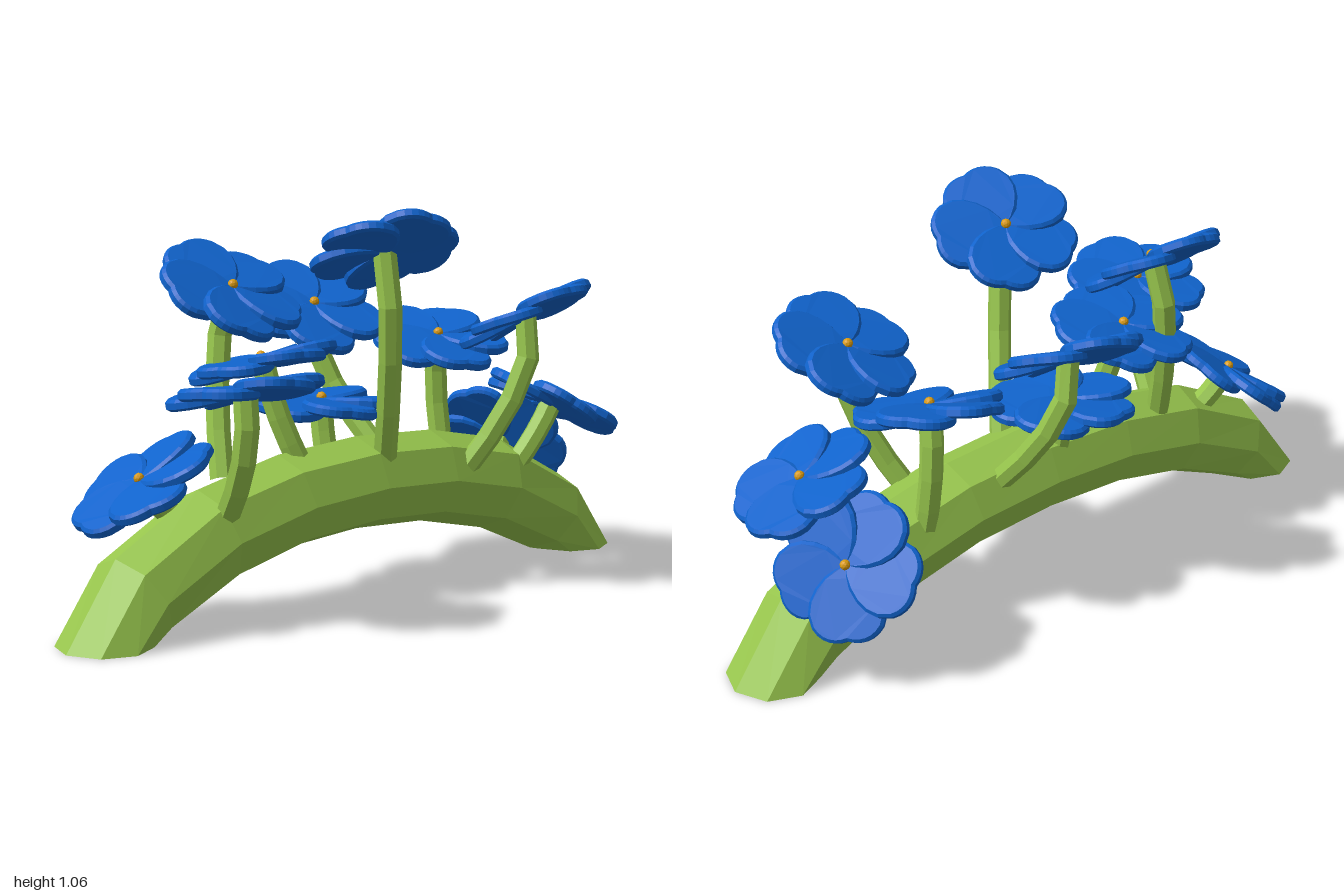
import * as THREE from 'three';

const green = new THREE.MeshStandardMaterial({ color: 0x97c54d, flatShading: true });
green.name = 'stem green';
const blue = new THREE.MeshStandardMaterial({ color: 0x1063cc, flatShading: true });
blue.name = 'petal blue';
const gold = new THREE.MeshStandardMaterial({ color: 0xd99a12, flatShading: true });
gold.name = 'pollen gold';

// Arched branch: octagonal rings given by centre, tilt of the section and radius
function archGeometry() {
  const half = [[-0.88, 0.008, -1, 0, 0.12], [-0.78, 0.12, -0.51, 0.86, 0.119],
    [-0.535, 0.235, -0.27, 0.963, 0.13], [-0.27, 0.29, -0.15, 0.989, 0.127]];
  const rings = [...half, [0, 0.305, 0, 1, 0.126],
    ...half.map(([x, y, dx, dy, r]) => [-x, y, -dx, dy, r]).reverse()];
  const N = 8, pos = [], idx = [];
  for (const [x, y, dx, dy, r] of rings) {
    for (let j = 0; j < N; j++) {
      const a = (j / N) * Math.PI * 2;
      pos.push(x + dx * r * Math.cos(a), y + dy * r * Math.cos(a), 0.012 + 0.128 * Math.sin(a));
    }
  }
  for (let i = 0; i < rings.length - 1; i++) {
    for (let j = 0; j < N; j++) {
      const k = (j + 1) % N;
      const a = i * N + j, b = a + N, d = i * N + k, c = d + N;
      idx.push(a, d, b, d, c, b);
    }
  }
  // flat feet
  const last = (rings.length - 1) * N;
  for (let j = 1; j < N - 1; j++) {
    idx.push(0, j + 1, j);
    idx.push(last, last + j, last + j + 1);
  }
  const g = new THREE.BufferGeometry();
  g.setAttribute('position', new THREE.Float32BufferAttribute(pos, 3));
  g.setIndex(idx);
  g.computeVertexNormals();
  return g;
}

// One broad petal with a bevelled rim, gently curled, pointing to -z
function petalGeometry() {
  const s = new THREE.Shape();
  s.moveTo(0, 0);
  s.bezierCurveTo(0.05, 0.02, 0.12, 0.09, 0.085, 0.155);
  s.bezierCurveTo(0.065, 0.188, 0.03, 0.195, 0, 0.184);
  s.bezierCurveTo(-0.03, 0.195, -0.065, 0.188, -0.085, 0.155);
  s.bezierCurveTo(-0.12, 0.09, -0.05, 0.02, 0, 0);
  const g = new THREE.ExtrudeGeometry(s, { depth: 0.016, curveSegments: 6,
    bevelEnabled: true, bevelThickness: 0.007, bevelSize: 0.008, bevelSegments: 1 });
  g.rotateX(-Math.PI / 2);
  g.translate(0, -0.026, 0);
  const p = g.attributes.position;
  for (let i = 0; i < p.count; i++) {
    const r = -p.getZ(i);
    p.setY(i, p.getY(i) + 0.5 * r * (0.2 - r) - 0.5 * p.getX(i) ** 2);
  }
  g.rotateZ(0.13); // each petal overlaps its neighbour
  g.computeVertexNormals();
  return g;
}

// Flower centre, facing direction, stem base, spin
const flowers = [
  [[-0.71, 0.40, -0.05], [-0.5, 0.82, -0.15], [-0.60, 0.28, -0.02], 0],
  [[-0.57, 0.645, 0.19], [0.03, 0.97, -0.22], [-0.54, 0.30, 0.09], 3.1],
  [[-0.36, 0.86, -0.08], [0, 0.83, 0.55], [-0.43, 0.36, -0.05], 0.2],
  [[-0.29, 0.67, -0.05], [-0.08, 0.97, -0.22], [-0.21, 0.37, 0.02], 0.5],
  [[-0.05, 0.535, -0.07], [0, 1, 0.02], [-0.05, 0.37, -0.05], 0.3],
  [[-0.05, 0.96, 0.16], [0.2, 0.85, -0.48], [0.04, 0.37, 0.08], 0.6],
  [[0.08, 0.77, -0.23], [-0.15, 0.85, 0.5], [0.17, 0.36, -0.07], 0.1],
  [[0.41, 0.67, -0.07], [-0.12, 0.95, 0.28], [0.43, 0.28, -0.06], 0.3],
  [[0.46, 0.755, 0.20], [-0.15, 0.88, -0.42], [0.34, 0.30, 0.09], 3.1],
  [[0.69, 0.48, 0.12], [0.43, 0.88, 0.12], [0.57, 0.29, 0.08], 2.6],
  [[0.73, 0.335, -0.115], [0.75, 0.52, -0.40], [0.63, 0.22, -0.04], 0.4],
];

export function createModel() {
  const model = new THREE.Group();
  model.name = 'floweringArch';

  const arch = new THREE.Mesh(archGeometry(), green);
  arch.name = 'archedBranch';
  model.add(arch);

  const petalGeo = petalGeometry();
  const centreGeo = new THREE.IcosahedronGeometry(0.014, 1);
  const up = new THREE.Vector3(0, 1, 0);

  flowers.forEach(([c, n, b, spin], i) => {
    const centre = new THREE.Vector3(...c);
    const normal = new THREE.Vector3(...n).normalize();
    const base = new THREE.Vector3(...b);

    // stem bends to meet the underside of the flower
    const reach = Math.min(0.17, centre.distanceTo(base) * 0.5);
    const bend = centre.clone().addScaledVector(normal, -reach);
    const tip = centre.clone().addScaledVector(normal, -0.016);
    const curve = new THREE.QuadraticBezierCurve3(base, bend, tip);
    const stem = new THREE.Mesh(new THREE.TubeGeometry(curve, 4, 0.032, 7), green);
    stem.name = 'stem' + (i + 1);
    model.add(stem);

    const flower = new THREE.Group();
    flower.name = 'flower' + (i + 1);
    for (let k = 0; k < 5; k++) {
      const petal = new THREE.Mesh(petalGeo, blue);
      petal.name = 'petal';
      petal.rotation.y = spin + (k * Math.PI * 2) / 5;
      flower.add(petal);
    }
    const pollen = new THREE.Mesh(centreGeo, gold);
    pollen.name = 'flowerCentre';
    flower.add(pollen);
    flower.position.copy(centre);
    flower.quaternion.setFromUnitVectors(up, normal);
    model.add(flower);
  });

  return model;
}
